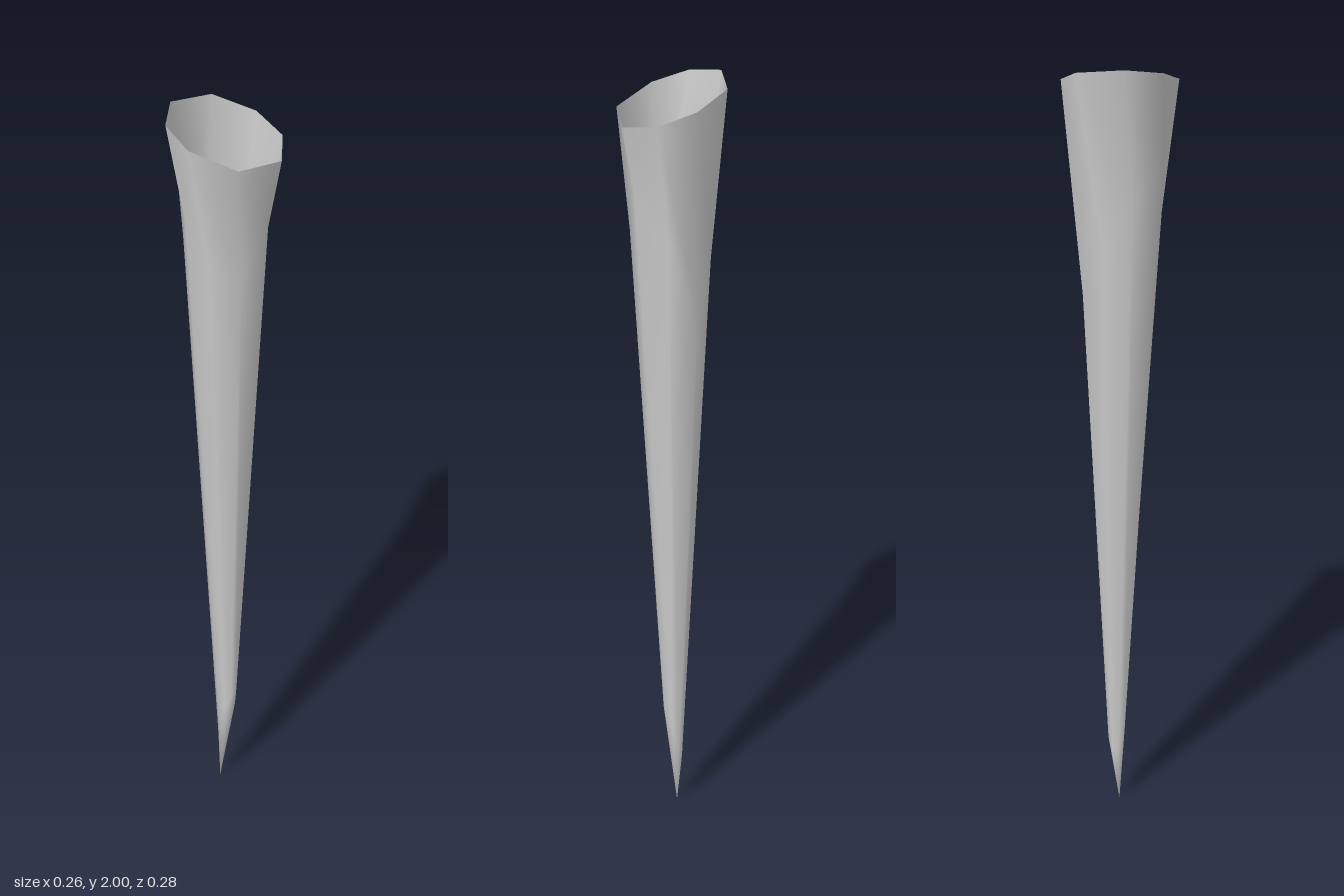
import * as THREE from 'three';

// Open, tapering hollow spike: eight-sided cross-sections running down to a point.
export function createModel() {
  const group = new THREE.Group();
  group.name = 'spike';

  // Slanted rim: x, z pairs lying on one tilted plane
  const rim = [[-0.03, -0.142], [0.062, -0.134], [0.131, -0.055], [0.118, 0.079],
    [0.018, 0.14], [-0.072, 0.122], [-0.133, 0.043], [-0.118, -0.081]]
    .map(([x, z]) => [x, 1.953 - 0.35 * x + 0.08 * z, z]);

  // Uneven neck where the flare begins
  const neck = [[-0.048, 1.42, -0.085], [0.03, 1.63, -0.11], [0.1, 1.73, -0.045], [0.095, 1.62, 0.042],
    [0.042, 1.62, 0.093], [-0.022, 1.75, 0.11], [-0.087, 1.67, 0.052], [-0.095, 1.55, -0.02]];

  // Small ring just above the point
  const ankle = neck.map(([x, , z]) => [x * 0.25 - 0.002, 0.22 + x * 0.8, z * 0.22 - 0.012]);

  // All corners of the last ring meet at the tip
  const tip = [-0.016, 0, 0];
  const rings = [rim, neck, ankle];
  const n = rim.length;
  const positions = [...rings.flat(), tip].flat();
  const index = [];
  for (let j = 0; j < n; j++) {
    const k = (j + 1) % n;
    for (let i = 0; i < rings.length - 1; i++) {
      const a = i * n, b = a + n;
      index.push(b + j, a + j, a + k, b + j, a + k, b + k);
    }
    const last = (rings.length - 1) * n;
    index.push(rings.length * n, last + j, last + k);
  }

  const geometry = new THREE.BufferGeometry();
  geometry.setAttribute('position', new THREE.Float32BufferAttribute(positions, 3));
  geometry.setIndex(index);
  geometry.computeVertexNormals();

  const shell = new THREE.Mesh(geometry,
    new THREE.MeshStandardMaterial({ color: 0xcccccc, side: THREE.DoubleSide }));
  shell.name = 'spikeShell';
  group.add(shell);
  return group;
}
